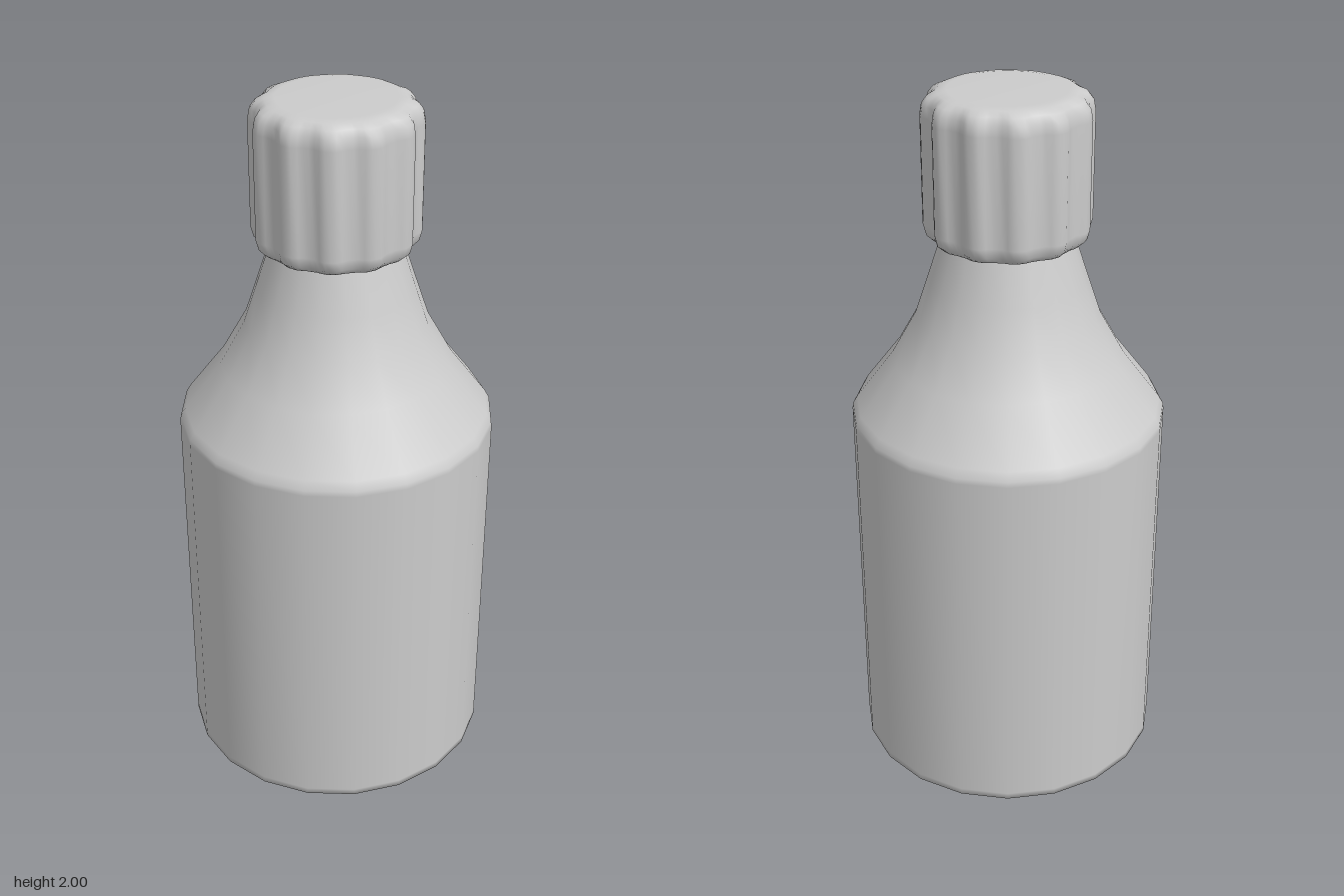
import * as THREE from 'three';
import { mergeVertices } from 'three/addons/utils/BufferGeometryUtils.js';

const material = new THREE.MeshStandardMaterial({ color: 0xcccccc });

function lathe(points, segments) {
  return new THREE.LatheGeometry(points.map(([r, y]) => new THREE.Vector2(r, y)), segments);
}

function addPart(group, name, geometry) {
  const mesh = new THREE.Mesh(geometry, material);
  mesh.name = name;
  group.add(mesh);
}

// Cap with twelve shallow grip ridges that fade out towards its rounded rims
function capGeometry() {
  const ridges = 12, offset = THREE.MathUtils.degToRad(7);
  let geo = lathe([
    [0, 1.6], [0.165, 1.6], [0.195, 1.606], [0.21, 1.622], [0.217, 1.65],
    [0.217, 1.94], [0.212, 1.968], [0.2, 1.986], [0.18, 1.996], [0.155, 2], [0, 2],
  ], 96);
  const pos = geo.attributes.position;
  for (let i = 0; i < pos.count; i++) {
    const x = pos.getX(i), z = pos.getZ(i), r = Math.hypot(x, z);
    const wave = THREE.MathUtils.clamp(1.6 * Math.cos(ridges * (Math.atan2(-z, x) - offset)), -1, 1);
    const k = 1 + 0.032 * wave * THREE.MathUtils.smoothstep(r, 0.17, 0.215);
    pos.setX(i, x * k);
    pos.setZ(i, z * k);
  }
  // Weld the seam so the shading stays smooth all round
  geo.deleteAttribute('normal');
  geo.deleteAttribute('uv');
  geo = mergeVertices(geo, 1e-5);
  geo.computeVertexNormals();
  return geo;
}

export function createModel() {
  const group = new THREE.Group();
  group.name = 'bottle';

  // Twenty-sided body, bevelled base and tapering shoulder up to the neck
  addPart(group, 'bottleBody', lathe([
    [0, 0.004], [0.2, 0.008], [0.36, 0.014], [0.4, 0.026], [0.435, 0.042],
    [0.435, 0.06], [0.435, 1.09], [0.433, 1.105], [0.42, 1.128], [0.318, 1.263],
    [0.25, 1.385], [0.215, 1.49], [0.18, 1.597], [0.175, 1.62],
  ], 20));

  addPart(group, 'cap', capGeometry());
  return group;
}
